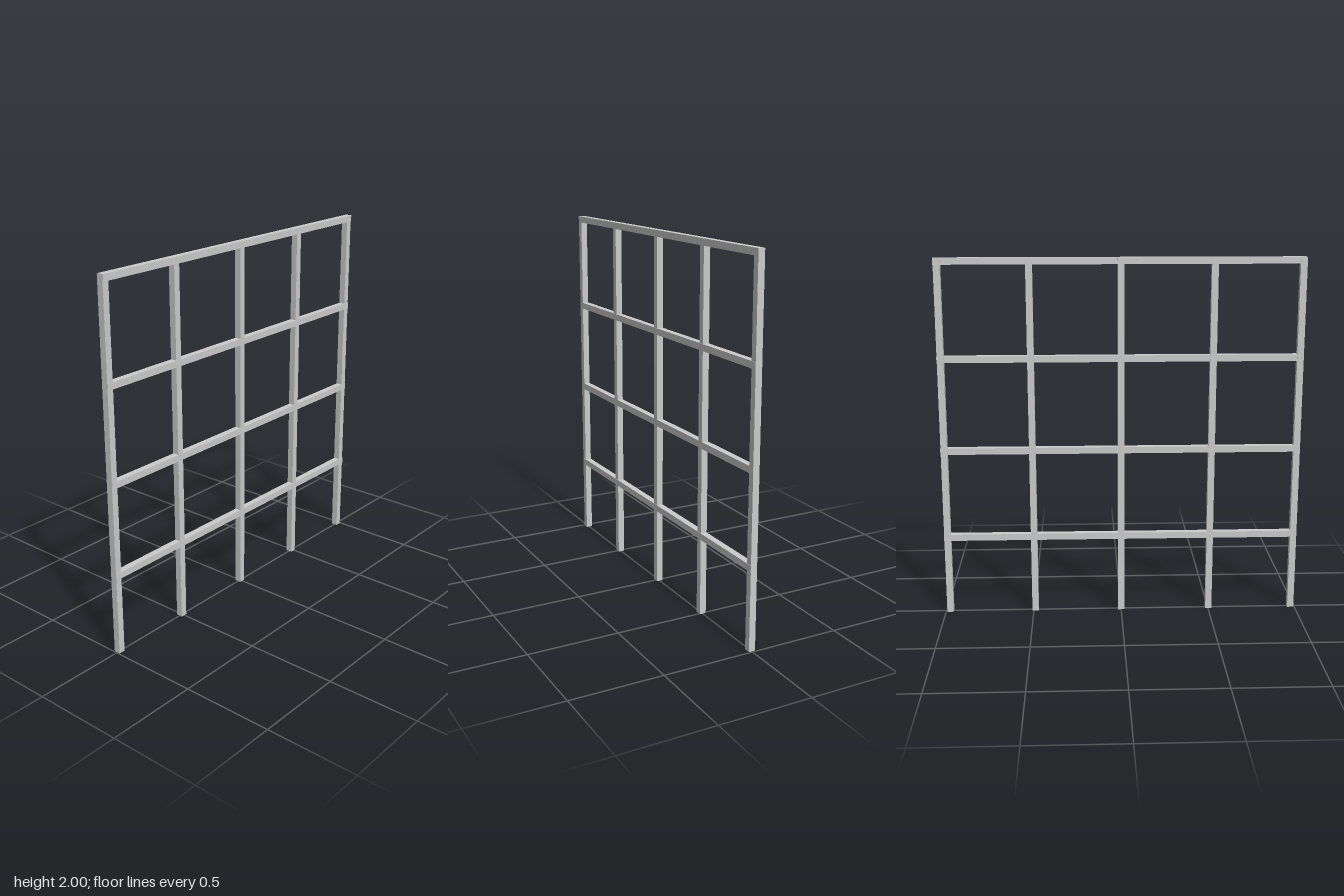
import * as THREE from 'three';

export function createModel() {
  const group = new THREE.Group();
  const material = new THREE.MeshStandardMaterial({ color: 0xcccccc, flatShading: true });
  const T = 0.036; // bar thickness
  const shift = 0.001; // posts and rails are slightly offset from each other

  const bar = (name, w, h, d, x, y, z) => {
    const mesh = new THREE.Mesh(new THREE.BoxGeometry(w, h, d), material);
    mesh.name = name;
    mesh.position.set(x, y, z);
    group.add(mesh);
  };

  // Upright posts, reaching just under the top face of the top rail
  const postHeight = 1.998;
  [0.977, 0.502, 0, -0.49, -0.975].forEach((z, i) =>
    bar(`post${i + 1}`, T, postHeight, T, -shift, postHeight / 2, z));

  // Horizontal rails, ending just past the rear post and just inside the front one
  [0.445, 0.945, 1.457, 2 - T / 2].forEach((y, i) =>
    bar(i === 3 ? 'topRail' : `rail${i + 1}`, T, T, 1.988, shift, y, -shift));

  return group;
}
